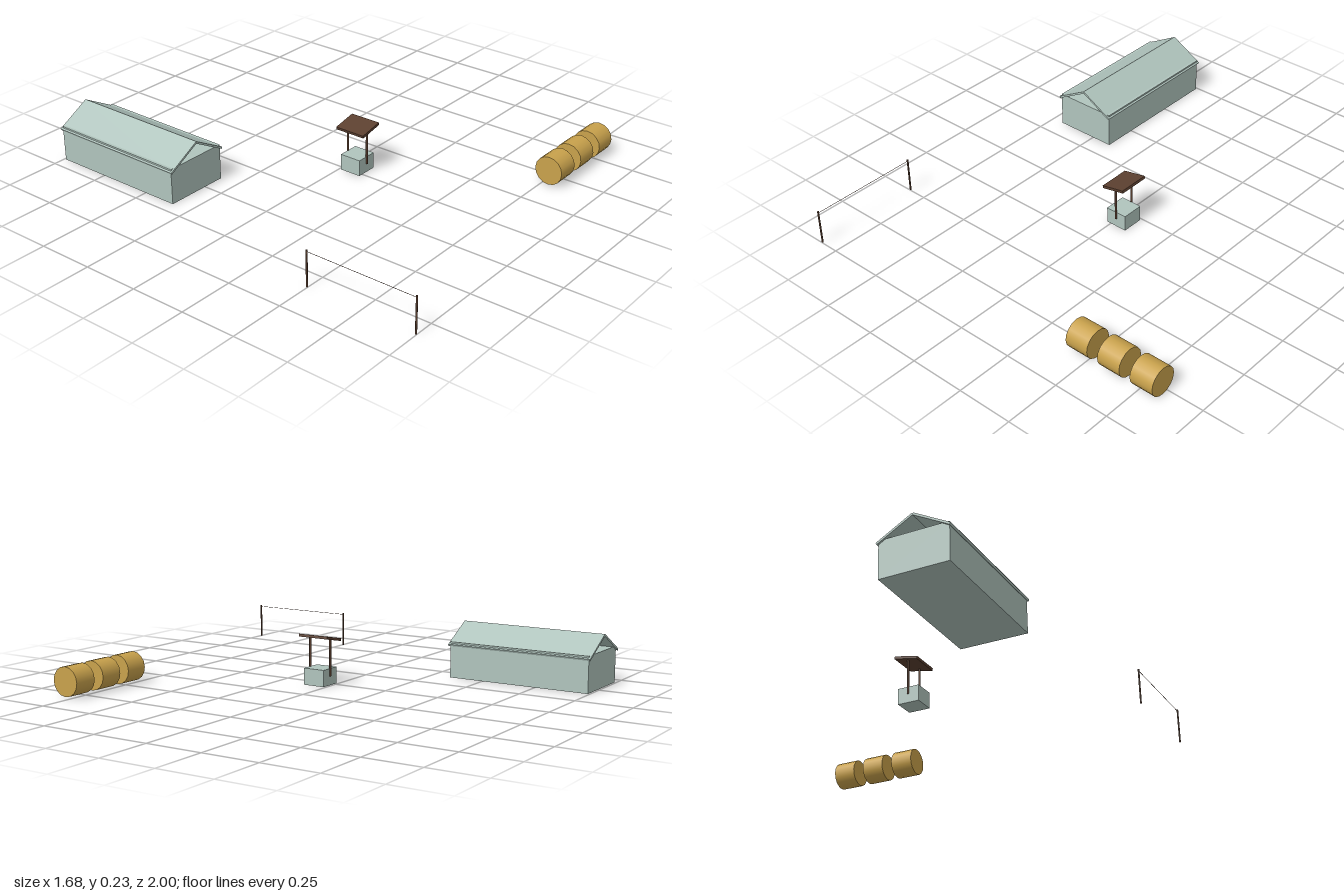
import * as THREE from 'three';

export function createModel() {
  const model = new THREE.Group();
  model.name = 'farmyard';
  const mat = (name, color) => {
    const m = new THREE.MeshStandardMaterial({ color });
    m.name = name;
    return m;
  };
  const paleGreen = mat('paleGreen', 0xb0c4bd);
  const wood = mat('darkWood', 0x5c4030);
  const straw = mat('straw', 0xc9a24c);

  const add = (parent, name, geometry, material, x, y, z) => {
    const mesh = new THREE.Mesh(geometry, material);
    mesh.name = name;
    mesh.position.set(x, y, z);
    parent.add(mesh);
    return mesh;
  };
  const box = (w, h, d) => new THREE.BoxGeometry(w, h, d);
  const group = (name, x, z) => {
    const g = new THREE.Group();
    g.name = name;
    g.position.set(x, 0, z);
    model.add(g);
    return g;
  };

  // Long barn: plain walls under two sloping slabs, gables left open
  const barn = group('barn', -0.547, -0.667);
  add(barn, 'barnWalls', box(0.292, 0.16, 0.65), paleGreen, 0, 0.08, 0);
  for (const s of [-1, 1]) {
    const slab = add(barn, s < 0 ? 'rightRoof' : 'leftRoof', box(0.173, 0.009, 0.666), paleGreen, s * 0.0755, 0.187, 0);
    slab.rotation.z = -s * 0.508;
  }

  // Well: block, two posts and a tilted roof board
  const well = group('well', 0.03, 0.059);
  add(well, 'wellBase', box(0.1, 0.073, 0.1), paleGreen, 0, 0.0365, 0);
  for (const s of [-1, 1]) {
    add(well, 'wellPost', new THREE.CylinderGeometry(0.005, 0.005, 0.16, 8), wood, 0, 0.12, s * 0.051);
  }
  const wellRoof = add(well, 'wellRoof', box(0.112, 0.012, 0.144), wood, 0.001, 0.204, 0);
  wellRoof.rotation.z = 0.2;

  // Washing line: two posts and a thin cord
  const line = group('washingLine', -0.838, 0.746);
  for (const s of [-1, 1]) {
    add(line, 'linePost', new THREE.CylinderGeometry(0.004, 0.004, 0.16, 8), wood, 0, 0.08, s * 0.25);
  }
  const cord = add(line, 'cord', new THREE.CylinderGeometry(0.001, 0.001, 0.5, 6), wood, 0, 0.153, 0);
  cord.rotation.x = Math.PI / 2;

  // Three round bales lying in a row
  const bales = group('bales', 0.623, 0.781);
  for (const i of [-1, 0, 1]) {
    const bale = add(bales, 'bale', new THREE.CylinderGeometry(0.064, 0.064, 0.107, 16), straw, i * 0.159, 0.067, 0);
    bale.rotation.z = Math.PI / 2;
  }
  return model;
}
